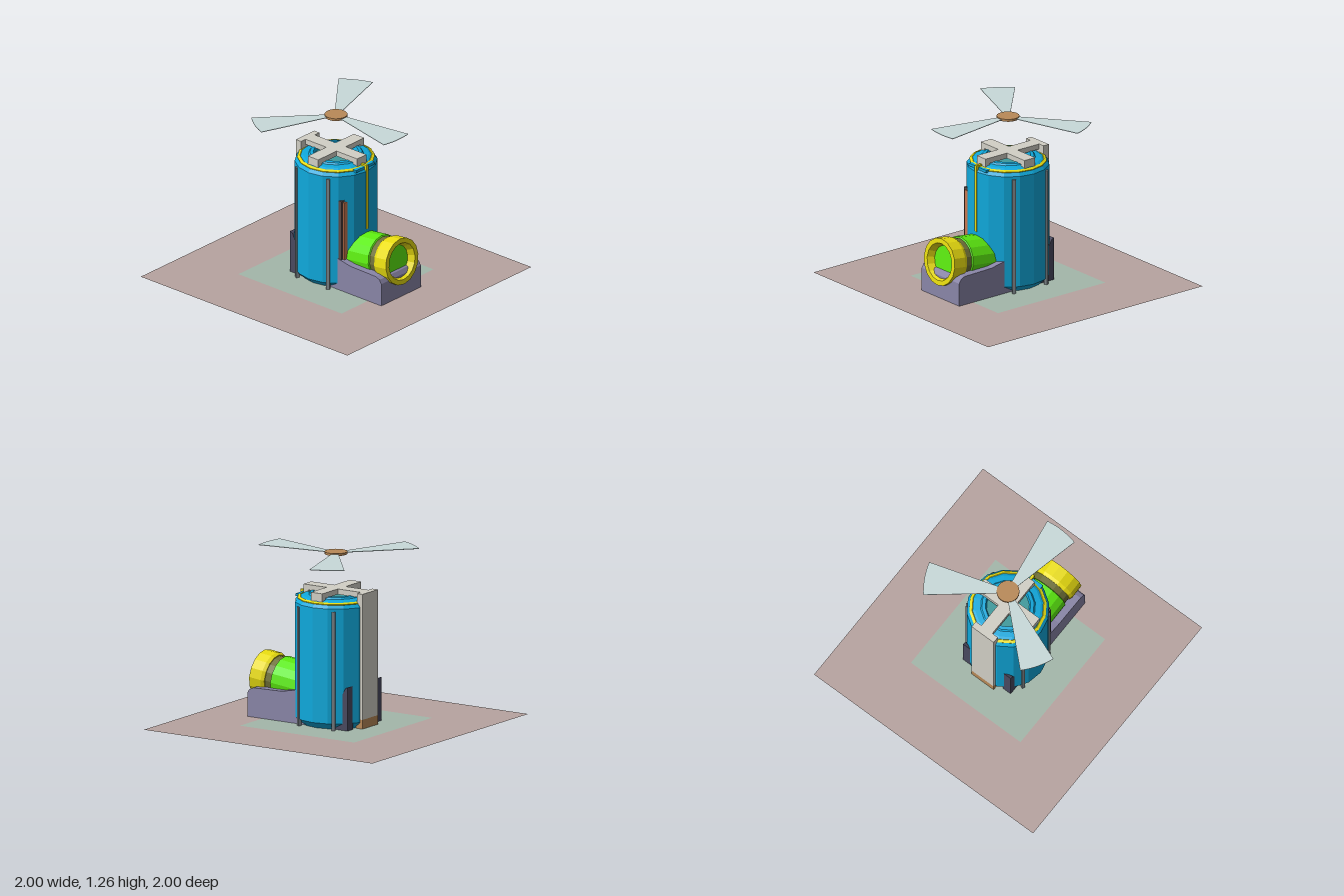
import * as THREE from 'three';

const mat = (color, side = THREE.FrontSide) =>
  new THREE.MeshStandardMaterial({ color, side, flatShading: true });

export function createModel() {
  const root = new THREE.Group();
  const blue = mat(0x0fa9dc), yellow = mat(0xe8dc10), green = mat(0x5cea10), steel = mat(0x7c8488);
  const cream = mat(0xd2d0c6), brown = mat(0xb98a58), purple = mat(0x8a86a8), dark = mat(0x4a4a60);
  const orange = mat(0xc87850), olive = mat(0x6f7038);

  const add = (name, geo, material, x = 0, y = 0, z = 0, parent = root) => {
    const mesh = new THREE.Mesh(geo, material);
    mesh.name = name;
    mesh.position.set(x, y, z);
    parent.add(mesh);
    return mesh;
  };
  // Box given by its min and max corners
  const box = (name, m, x0, x1, y0, y1, z0, z1) =>
    add(name, new THREE.BoxGeometry(x1 - x0, y1 - y0, z1 - z0), m,
      (x0 + x1) / 2, (y0 + y1) / 2, (z0 + z1) / 2);
  const lathe = (pts, seg = 16) =>
    new THREE.LatheGeometry(pts.map(([r, y]) => new THREE.Vector2(r, y)), seg);
  // Extrudes a (z, y) side profile across x, centred
  const sideExtrude = (pts, width) => {
    const shape = new THREE.Shape(pts.map(([z, y]) => new THREE.Vector2(z, y)));
    return new THREE.ExtrudeGeometry(shape, { depth: width, bevelEnabled: false })
      .rotateY(-Math.PI / 2).translate(width / 2, 0, 0);
  };

  // Ground plate and inner pad
  const flat = (size) => new THREE.PlaneGeometry(size, size).rotateX(-Math.PI / 2);
  add('groundPlate', flat(2), mat(0xb7a3a0, THREE.DoubleSide));
  add('groundPad', flat(1), mat(0xa3b7aa, THREE.DoubleSide), 0, 0.001);

  // Tank body with tapered foot, stepped shoulder and recessed top
  add('tankBody', lathe([[0, 0.002], [0.25, 0.002], [0.3, 0.05], [0.3, 0.9], [0.28, 0.925],
    [0.24, 0.945], [0.2, 0.95], [0.19, 0.962], [0.165, 0.965], [0.155, 0.935]]), blue);
  add('tankLid', lathe([[0.16, 0.937], [0, 0.937]]), mat(0x3f9a9c));
  add('shoulderBand', lathe([[0.28, 0.921], [0.282, 0.93], [0.262, 0.939], [0.255, 0.934]]), yellow);
  box('frontStripe', yellow, -0.01, 0.01, 0.44, 0.95, 0.25, 0.304);
  box('shoulderTab', blue, -0.1, 0.1, 0.915, 0.935, 0.22, 0.285);

  // Four vertical rails around the tank
  for (const sx of [-1, 1]) for (const sz of [-1, 1]) {
    const rail = add('sideRail', new THREE.BoxGeometry(0.026, 0.88, 0.026), steel, sx * 0.252, 0.44, sz * 0.15);
    rail.rotation.y = Math.atan2(sx * 0.252, sz * 0.15);
  }

  // Gauge strip set on the front of the tank
  box('gaugeFrame', mat(0x5a4a48), -0.21, -0.118, 0.1, 0.71, 0.15, 0.238);
  box('gaugeStrip', orange, -0.19, -0.122, 0.1, 0.695, 0.15, 0.25);

  // Cross bracket on the top and the column behind
  box('crossBeamAcross', cream, -0.25, 0.25, 0.96, 1, -0.05, 0.05);
  box('crossBeamAlong', cream, -0.05, 0.05, 0.96, 1, -0.25, 0.25);
  for (const s of [-1, 1]) {
    box('crossFoot', cream, s * 0.23 - 0.02, s * 0.23 + 0.02, 0.91, 1, -0.05, 0.05);
  }
  box('crossFoot', cream, -0.05, 0.05, 0.91, 1, 0.21, 0.25);
  box('rearColumn', cream, -0.1, 0.1, 0.07, 1, -0.3, -0.25);
  box('columnBase', brown, -0.1, 0.1, 0.002, 0.07, -0.3, -0.245);

  // Chamfered rear fins
  for (const s of [-1, 1]) {
    add('rearFin', sideExtrude([[-0.25, 0.002], [-0.1, 0.002], [-0.1, 0.2], [-0.205, 0.27],
      [-0.23, 0.315], [-0.25, 0.325]], 0.07), dark, s * 0.182);
  }

  // Cradle under the nozzle
  add('nozzleCradle', sideExtrude([[0.1, 0.002], [0.63, 0.002], [0.63, 0.175], [0.612, 0.205],
    [0.58, 0.22], [0.33, 0.225], [0.2, 0.25], [0.1, 0.25]], 0.43), purple);

  // Tilted nozzle: pipe, neck, ring and front disc, built along +y then laid forward
  const nozzle = new THREE.Group();
  nozzle.name = 'nozzle';
  nozzle.position.set(0, 0.285, 0.64);
  nozzle.rotation.x = Math.PI / 2 - 0.114;
  root.add(nozzle);
  add('nozzlePipe', lathe([[0.165, -0.48], [0.168, -0.18], [0.15, -0.17]]), green, 0, 0, 0, nozzle);
  add('nozzleNeck', lathe([[0.158, -0.19], [0.158, -0.11]]), olive, 0, 0, 0, nozzle);
  add('nozzleRing', lathe([[0.14, -0.125], [0.165, -0.125], [0.176, -0.1], [0.176, 0],
    [0.14, 0], [0.115, -0.05]]), yellow, 0, 0, 0, nozzle);
  add('nozzleDisc', lathe([[0.12, -0.05], [0, -0.05]]), green, 0, 0, 0, nozzle);

  // Rotor floating over the tank: hub and three flared blades
  const rotor = new THREE.Group();
  rotor.name = 'rotor';
  rotor.position.y = 1.255;
  root.add(rotor);
  add('rotorHub', new THREE.CylinderGeometry(0.083, 0.083, 0.018, 20), brown, 0, 0, 0, rotor);
  const blade = new THREE.Shape();
  blade.moveTo(-0.02, 0.04);
  blade.lineTo(0.02, 0.04);
  blade.absarc(0, 0, 0.613, Math.PI / 2 - 0.21, Math.PI / 2 + 0.21, false);
  blade.closePath();
  const bladeGeo = new THREE.ExtrudeGeometry(blade, { depth: 0.004, bevelEnabled: false, curveSegments: 5 })
    .rotateX(Math.PI / 2);
  const bladeMat = mat(0xc8dada);
  for (let i = 0; i < 3; i++) {
    add('rotorBlade', bladeGeo, bladeMat, 0, 0.002, 0, rotor).rotation.y = -0.035 + i * Math.PI * 2 / 3;
  }
  return root;
}
